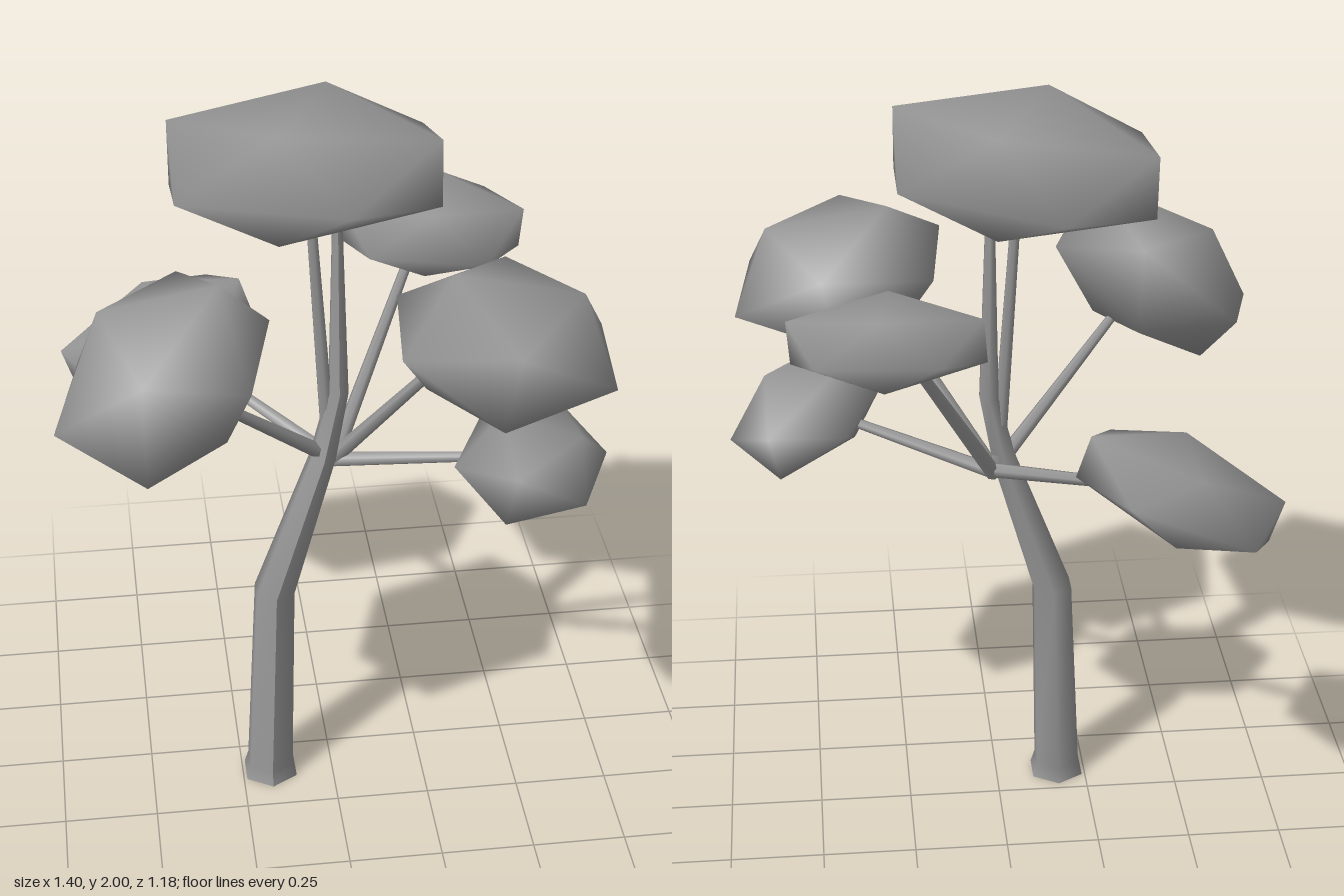
import * as THREE from 'three';
import { mergeVertices } from 'three/addons/utils/BufferGeometryUtils.js';

const V = (a) => new THREE.Vector3(...a);

// Smooth-shaded icosahedron stretched along three axes around a centre
function leafGeometry(centre, e1, e2, e3) {
  const raw = new THREE.IcosahedronGeometry(Math.hypot(1, (1 + Math.sqrt(5)) / 2), 0);
  raw.deleteAttribute('uv');
  raw.deleteAttribute('normal');
  const geo = mergeVertices(raw, 1e-3);
  geo.applyMatrix4(new THREE.Matrix4().makeBasis(V(e1), V(e2), V(e3)).setPosition(V(centre)));
  geo.computeVertexNormals();
  return geo;
}

// Tapered limb with level rings: each ring is [x, y, z, radius], top first
function limbGeometry(rings, sides) {
  const n = rings.length - 1;
  const geo = new THREE.CylinderGeometry(1, 1, 1, sides, n);
  const p = geo.attributes.position;
  for (let i = 0; i < p.count; i++) {
    const [x, y, z, r] = rings[Math.round((0.5 - p.getY(i)) * n)];
    p.setXYZ(i, x + p.getX(i) * r, y, z + p.getZ(i) * r);
  }
  geo.computeVertexNormals();
  return geo;
}

// Straight tapered branch between two points
function branchGeometry(from, to, r0, r1, sides) {
  const a = V(from), d = V(to).sub(a);
  const geo = new THREE.CylinderGeometry(r1, r0, d.length(), sides);
  geo.translate(0, d.length() / 2, 0);
  geo.applyQuaternion(new THREE.Quaternion().setFromUnitVectors(new THREE.Vector3(0, 1, 0), d.clone().normalize()));
  geo.translate(a.x, a.y, a.z);
  return geo;
}

export function createModel() {
  const tree = new THREE.Group();
  tree.name = 'tree';
  const grey = new THREE.MeshStandardMaterial({ color: 0x969696 });
  grey.name = 'grey';
  const add = (name, geo) => {
    const mesh = new THREE.Mesh(geo, grey);
    mesh.name = name;
    tree.add(mesh);
  };

  // Bent trunk, running on into the crown
  add('trunk', limbGeometry([
    [0.018, 1.76, 0.055, 0.012],
    [0.022, 1.21, 0.06, 0.028],
    [-0.02, 1.02, 0.07, 0.037],
    [-0.152, 0.62, 0.09, 0.058],
    [-0.172, 0.04, 0.1, 0.068],
    [-0.172, 0, 0.1, 0.08],
  ], 6));

  // Leaf clumps: centre and three half-axes
  const clumps = {
    topLeaves: [[-0.065, 1.855, 0.053], [0.078, -0.01, -0.17], [0, 0.083, -0.008], [0.195, 0.015, 0.09]],
    frontLeftLeaves: [[0.395, 1.475, 0.31], [0.158, -0.03, 0.011], [0.019, 0.094, -0.004], [-0.0185, 0.008, 0.168]],
    lowLeftLeaves: [[0.487, 1.1, 0.27], [0.095, -0.017, 0.039], [0.014, 0.06, -0.003], [-0.06, 0.022, 0.145]],
    backLeftLeaves: [[0.295, 1.518, -0.242], [0.0185, 0.009, -0.1175], [0.004, 0.055, 0.004], [0.147, -0.007, 0.024]],
    backRightLeaves: [[-0.415, 1.155, -0.383], [0, -0.003, -0.127], [-0.018, 0.055, 0], [0.15, 0.061, 0.004]],
    frontRightLeaves: [[-0.435, 1.44, 0.315], [0.142, 0.052, 0.046], [-0.002, 0.122, -0.02], [-0.035, -0.02, 0.135]],
  };
  for (const [name, axes] of Object.entries(clumps)) add(name, leafGeometry(...axes));

  // Thin branches carrying the clumps
  const branches = {
    topBranch: [[0, 1.0, 0.06], [-0.05, 1.76, 0.06]],
    frontLeftBranch: [[0.01, 1.0, 0.05], [0.29, 1.42, 0.24]],
    lowLeftBranch: [[0.01, 0.995, 0.05], [0.42, 1.09, 0.23]],
    backLeftBranch: [[0.01, 0.99, 0.05], [0.25, 1.47, -0.2]],
    backRightBranch: [[0.01, 1.0, 0.05], [-0.36, 1.13, -0.32]],
    frontRightBranch: [[0.01, 1.0, 0.05], [-0.32, 1.33, 0.26]],
  };
  for (const [name, [from, to]] of Object.entries(branches)) {
    add(name, branchGeometry(from, to, 0.021, 0.013, 6));
  }
  return tree;
}
